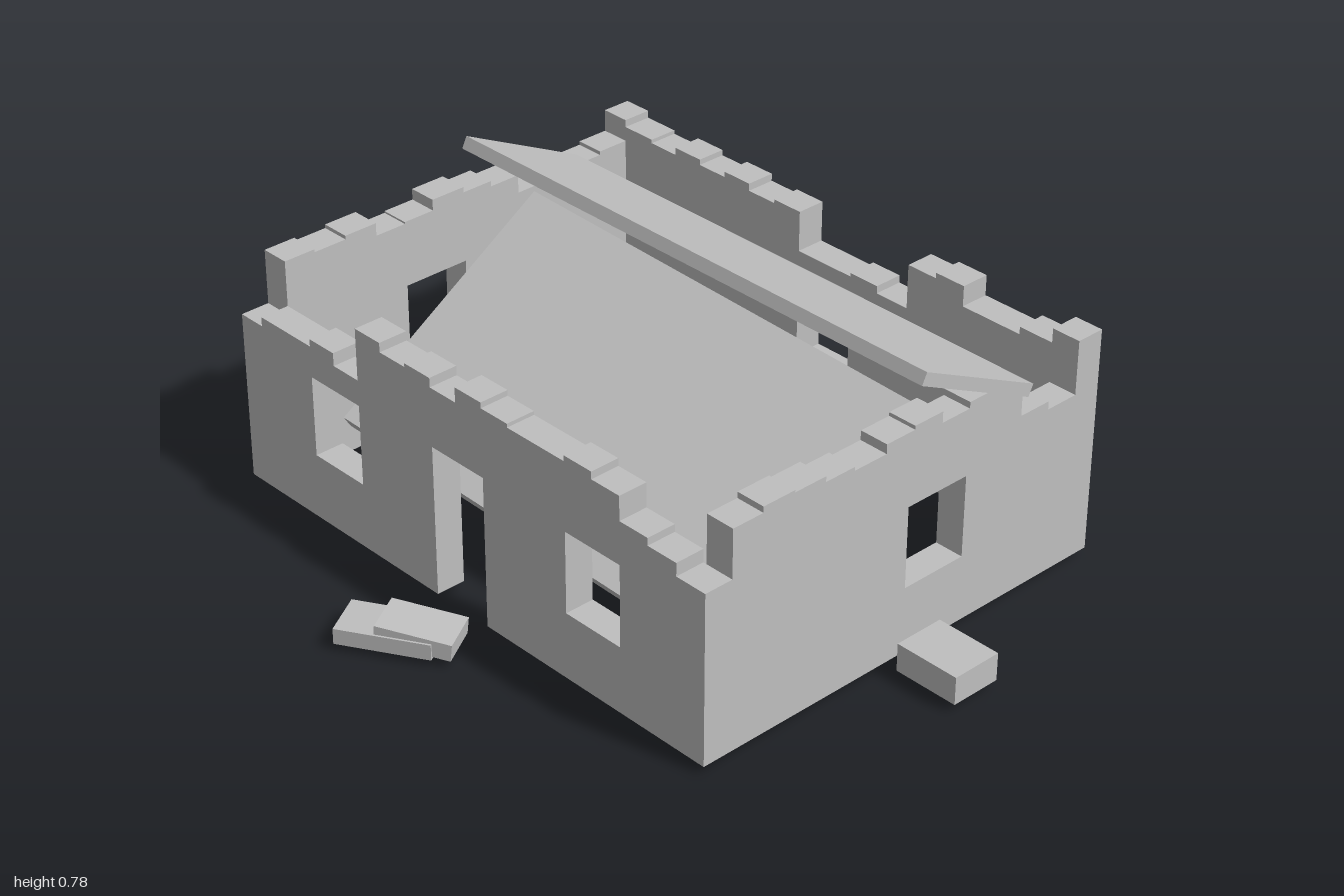
import * as THREE from 'three';

export function createModel() {
  const model = new THREE.Group();
  model.name = 'ruinedHouse';
  const stone = new THREE.MeshStandardMaterial({ color: 0xbfbfbf });
  stone.name = 'pale stone';

  const base = 0.02, thick = 0.08;

  // Stepped wall: tops are [start, height] along u, holes are [u0, y0, u1, y1]
  function wall(name, tops, end, holes, door) {
    const s = new THREE.Shape();
    s.moveTo(tops[0][0], base);
    if (door) {
      s.lineTo(door[0], base);
      s.lineTo(door[0], door[2]);
      s.lineTo(door[1], door[2]);
      s.lineTo(door[1], base);
    }
    s.lineTo(end, base);
    for (let i = tops.length - 1; i >= 0; i--) {
      const right = i === tops.length - 1 ? end : tops[i + 1][0];
      s.lineTo(right, tops[i][1]);
      s.lineTo(tops[i][0], tops[i][1]);
    }
    s.closePath();
    for (const [u0, y0, u1, y1] of holes) {
      const h = new THREE.Path();
      h.moveTo(u0, y0);
      h.lineTo(u0, y1);
      h.lineTo(u1, y1);
      h.lineTo(u1, y0);
      h.closePath();
      s.holes.push(h);
    }
    const geo = new THREE.ExtrudeGeometry(s, { depth: thick, bevelEnabled: false });
    const mesh = new THREE.Mesh(geo, stone);
    mesh.name = name;
    model.add(mesh);
    return mesh;
  }

  function slab(name, size, pos, rot = [0, 0, 0]) {
    const mesh = new THREE.Mesh(new THREE.BoxGeometry(...size), stone);
    mesh.name = name;
    mesh.position.set(...pos);
    mesh.rotation.set(...rot);
    model.add(mesh);
  }

  // Front wall with two windows and a doorway
  wall('frontWall', [
    [-0.85, 0.48], [-0.77, 0.505], [-0.58, 0.525], [-0.49, 0.49], [-0.4, 0.63],
    [-0.31, 0.605], [-0.22, 0.615], [-0.13, 0.59], [-0.04, 0.63], [0.05, 0.615],
    [0.14, 0.605], [0.33, 0.62], [0.42, 0.6], [0.51, 0.535], [0.6, 0.515], [0.69, 0.48],
  ], 0.78, [[-0.58, 0.2, -0.4, 0.42], [0.33, 0.2, 0.51, 0.42]], [-0.13, 0.05, 0.43])
    .position.z = 0.5;

  // Back wall with a window under the broken gap
  wall('backWall', [
    [-0.85, 0.63], [-0.77, 0.61], [-0.67, 0.6], [-0.58, 0.62], [-0.49, 0.605],
    [-0.4, 0.62], [-0.31, 0.6], [-0.22, 0.61], [-0.13, 0.5], [0.05, 0.51],
    [0.14, 0.49], [0.24, 0.61], [0.33, 0.625], [0.42, 0.57], [0.6, 0.59], [0.7, 0.628],
  ], 0.78, [[-0.13, 0.2, 0.05, 0.42]]).position.z = -0.69;

  // Side walls run along z between the front and back walls
  const right = wall('rightWall', [
    [-0.61, 0.483], [-0.515, 0.505], [-0.42, 0.6], [-0.335, 0.617], [-0.24, 0.6],
    [-0.15, 0.63], [-0.06, 0.62], [0.03, 0.595], [0.13, 0.605], [0.22, 0.62],
    [0.315, 0.626], [0.41, 0.61],
  ], 0.5, [[-0.24, 0.2, -0.05, 0.42]]);
  const left = wall('leftWall', [
    [-0.61, 0.57], [-0.52, 0.56], [-0.42, 0.575], [-0.335, 0.55], [-0.24, 0.6],
    [-0.15, 0.615], [-0.06, 0.63], [0.04, 0.6], [0.13, 0.595], [0.22, 0.63],
    [0.315, 0.62], [0.41, 0.628],
  ], 0.5, [[-0.06, 0.2, 0.13, 0.42]]);
  right.rotation.y = left.rotation.y = -Math.PI / 2;
  right.position.x = 0.78;
  left.position.x = -0.77;

  // Broken roof pieces
  slab('upperRoofSlab', [1.56, 0.033, 0.405], [0.02, 0.67, -0.242], [-0.455, 0, 0]);
  slab('fallenRoofSlab', [1.34, 0.04, 0.747], [0.02, 0.361, 0.09], [0.567, 0, -0.075]);

  // Fallen blocks outside
  slab('rightBlock', [0.18, 0.075, 0.14], [0.91, 0.058, -0.06]);
  slab('leftBlock', [0.235, 0.075, 0.19], [-0.85, 0.058, -0.47], [0, -0.54, 0]);
  slab('backBlock', [0.125, 0.075, 0.16], [0.215, 0.058, -0.793], [0, -0.28, 0]);
  slab('frontBlockLower', [0.24, 0.042, 0.125], [-0.073, 0.037, 0.768], [0, 0.54, 0]);
  slab('frontBlockUpper', [0.19, 0.045, 0.12], [-0.012, 0.05, 0.728], [0, 0.54, -0.1]);

  // Rubble lying inside
  slab('innerBlockA', [0.26, 0.07, 0.17], [-0.06, 0.085, -0.26], [0.15, 0.3, 0.12]);
  slab('innerBlockB', [0.22, 0.07, 0.17], [-0.43, 0.07, -0.31], [0.1, -0.5, -0.15]);
  slab('innerBlockC', [0.36, 0.04, 0.24], [-0.4, 0.045, -0.1], [0.08, 0.25, 0.08]);
  slab('innerBlockD', [0.24, 0.06, 0.16], [-0.1, 0.035, -0.08], [0, -0.3, 0.03]);

  return model;
}
